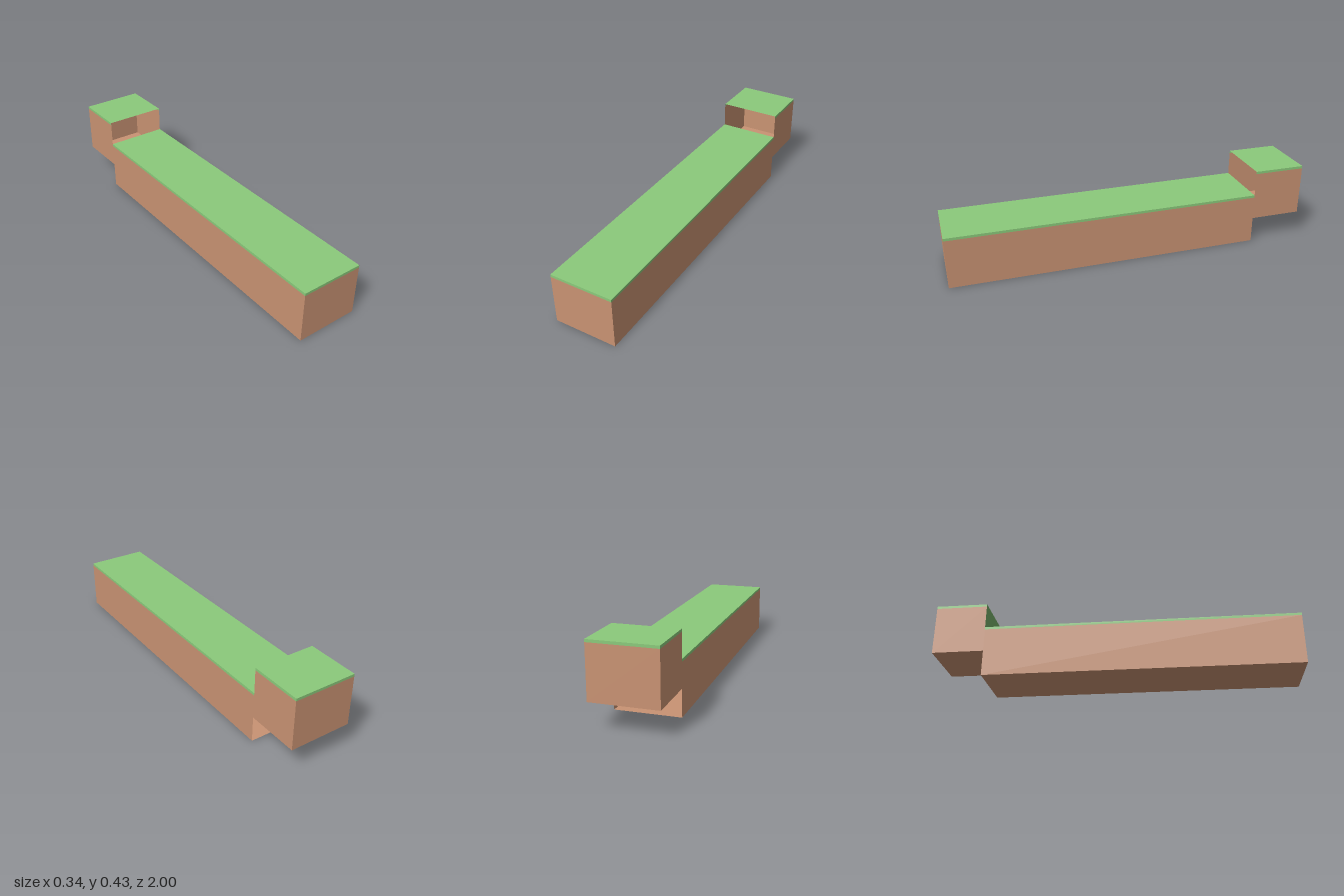
import * as THREE from 'three';

const WIDTH = 0.343, HEIGHT = 0.286, RIM = 0.014;

// A flat double-sided panel
function panel(name, w, h, material, position, rotation) {
  const mesh = new THREE.Mesh(new THREE.PlaneGeometry(w, h), material);
  mesh.name = name;
  mesh.position.set(...position);
  mesh.rotation.set(...rotation);
  return mesh;
}

// A hollow ground block, closed at one end (endSign * z) and open at the other
function groundBlock(name, zMin, zMax, base, endSign, earth, grass) {
  const block = new THREE.Group();
  block.name = name;
  const length = zMax - zMin, mid = (zMin + zMax) / 2;
  const endZ = endSign > 0 ? zMax : zMin;

  // Grass surface and earth underside
  block.add(panel('grassTop', WIDTH, length, grass, [0, base + HEIGHT, mid], [-Math.PI / 2, 0, 0]));
  block.add(panel('underside', WIDTH, length, earth, [0, base, mid], [Math.PI / 2, 0, 0]));

  // Walls: earth below, a thin grass rim above
  const bands = [
    ['earth', earth, base, HEIGHT - RIM],
    ['grassRim', grass, base + HEIGHT - RIM, RIM],
  ];
  for (const [label, material, y, h] of bands) {
    for (const side of [-1, 1]) {
      block.add(panel(`${label}${side > 0 ? 'Left' : 'Right'}`, length, h, material,
        [side * WIDTH / 2, y + h / 2, mid], [0, side * Math.PI / 2, 0]));
    }
    block.add(panel(`${label}End`, WIDTH, h, material,
      [0, y + h / 2, endZ], [0, endSign > 0 ? 0 : Math.PI, 0]));
  }
  return block;
}

export function createModel() {
  const earth = new THREE.MeshStandardMaterial({ color: 0xc99373, side: THREE.DoubleSide });
  earth.name = 'earth brown';
  const grass = new THREE.MeshStandardMaterial({ color: 0x8bca7b, side: THREE.DoubleSide });
  grass.name = 'grass green';

  const model = new THREE.Group();
  model.name = 'steppedGround';
  model.add(groundBlock('longGround', -0.714, 1, 0, 1, earth, grass));
  model.add(groundBlock('raisedStep', -1, -0.714, 0.143, -1, earth, grass));
  return model;
}
